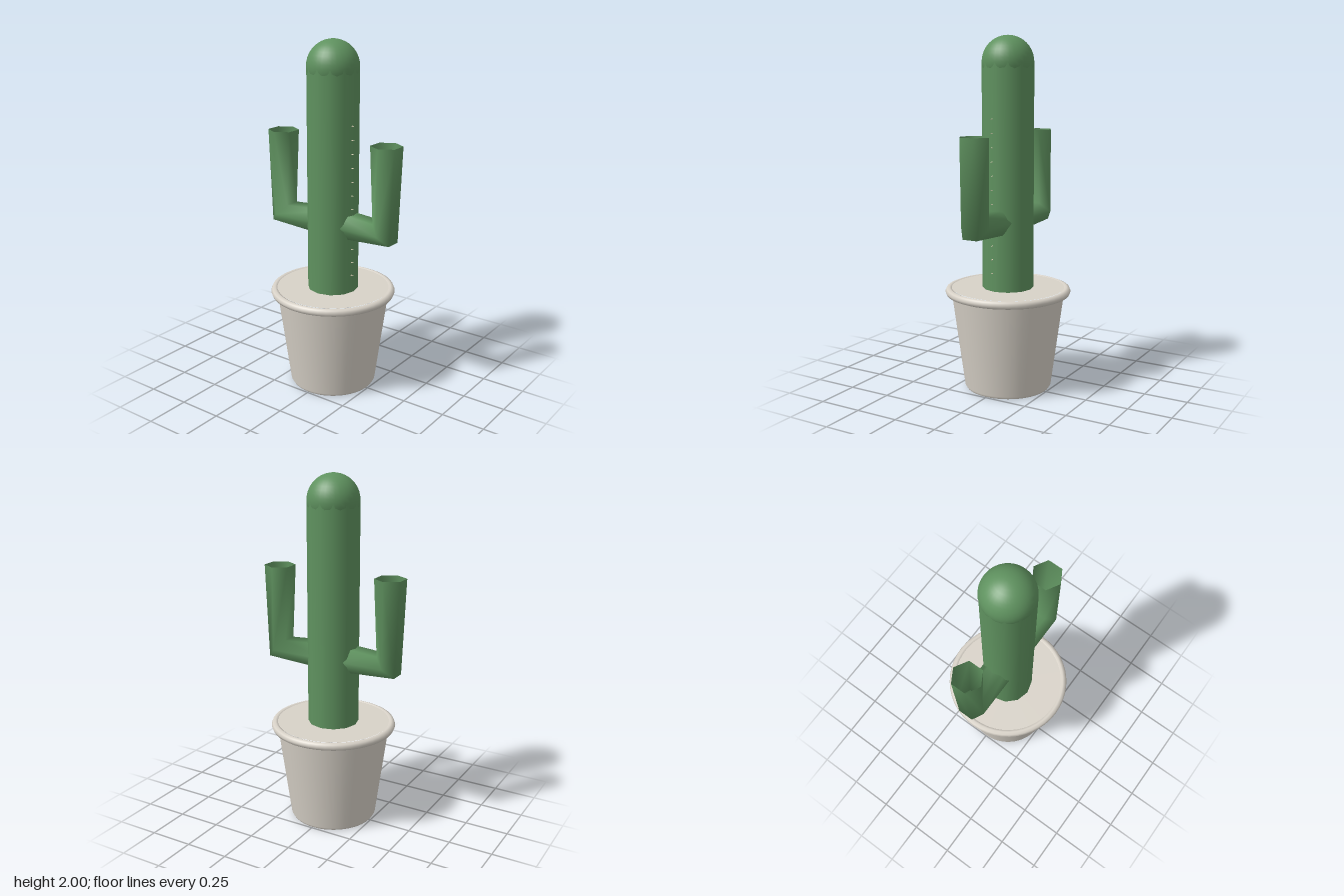
import * as THREE from 'three';

export function createModel() {
  const model = new THREE.Group();
  const green = new THREE.MeshStandardMaterial({ color: 0x5f925f, side: THREE.DoubleSide });
  green.name = 'cactus green';
  const clay = new THREE.MeshStandardMaterial({ color: 0xd8d2c8 });
  clay.name = 'pale clay';
  const cream = new THREE.MeshStandardMaterial({ color: 0xe8dfc0 });
  cream.name = 'spine cream';

  function add(name, geometry, material, x = 0, y = 0, z = 0) {
    const mesh = new THREE.Mesh(geometry, material);
    mesh.name = name;
    mesh.position.set(x, y, z);
    model.add(mesh);
    return mesh;
  }

  // Pot: tapered wall with a small bevel at the foot, flat base, round rim and filling
  const wall = [[0.24, 0], [0.249, 0.015], [0.322, 0.56]].map(p => new THREE.Vector2(...p));
  add('potWall', new THREE.LatheGeometry(wall, 48), clay);
  add('potBase', new THREE.CircleGeometry(0.24, 48).rotateX(Math.PI / 2), clay);
  add('potRim', new THREE.TorusGeometry(0.335, 0.023, 8, 48).rotateX(Math.PI / 2), clay, 0, 0.566);
  add('potFilling', new THREE.CircleGeometry(0.322, 48).rotateX(-Math.PI / 2), clay, 0, 0.586);

  // Trunk: twelve-sided column; the rounder dome overlaps its flats in a scalloped edge
  add('trunk', new THREE.CylinderGeometry(0.145, 0.145, 1.285, 12, 1, true), green, 0, 1.2125);
  add('trunkDome', new THREE.SphereGeometry(0.145, 32, 20), green, 0, 1.855);

  // Arm: six-sided open tube with one ring at each end and one across the elbow
  function armGeometry(side) {
    const sides = 6, radius = 0.088, positions = [], index = [];
    const rings = [
      { x: 0, y: 0.978, angle: Math.PI / 2 },
      { x: 0.35, y: 0.978, angle: Math.PI * 3 / 4 },
      { x: 0.35, y: 1.465, angle: Math.PI },
    ];
    rings.forEach(({ x, y, angle }, r) => {
      for (let i = 0; i < sides; i++) {
        const t = i / sides * Math.PI * 2;
        const across = Math.sin(t) * radius;
        positions.push(side * (x + across * Math.cos(angle)), y + across * Math.sin(angle), Math.cos(t) * radius);
        if (r === 0) continue;
        const a = (r - 1) * sides + i, b = (r - 1) * sides + (i + 1) % sides;
        const c = a + sides, d = b + sides;
        if (side > 0) index.push(a, c, b, b, c, d);
        else index.push(a, b, c, b, d, c);
      }
    });
    const geometry = new THREE.BufferGeometry();
    geometry.setAttribute('position', new THREE.Float32BufferAttribute(positions, 3));
    geometry.setIndex(index);
    geometry.computeVertexNormals();
    return geometry;
  }
  add('leftArm', armGeometry(1), green);
  add('rightArm', armGeometry(-1), green);

  // Spines: one column of tiny cones on the left of the trunk
  for (let i = 0; i < 12; i++) {
    const spine = new THREE.ConeGeometry(0.004, 0.022, 6).rotateZ(-Math.PI / 2);
    add('spine', spine, cream, 0.148, 0.69 + i * 0.078, 0.018);
  }

  return model;
}
